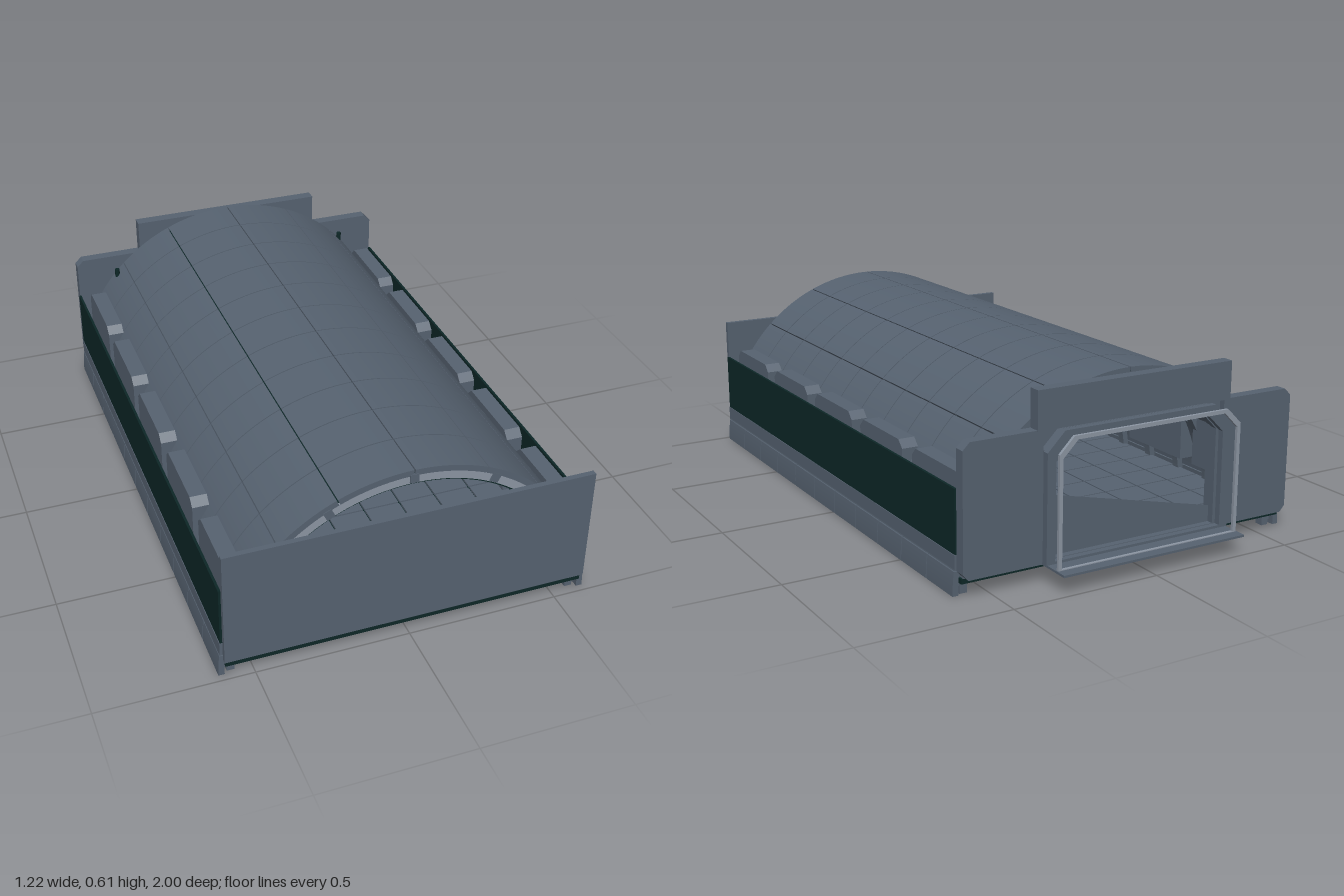
import * as THREE from 'three';
import { mergeGeometries } from 'three/addons/utils/BufferGeometryUtils.js';

const mat = (name, color) => {
  const m = new THREE.MeshStandardMaterial({ color });
  m.name = name;
  return m;
};

export function createModel() {
  const steel = mat('steel grey', 0x566270);
  const dark = mat('dark green', 0x0d2727);
  const pale = mat('pale grey', 0x8c96a3);
  const root = new THREE.Group();
  root.name = 'archedHangar';

  const add = (name, geo, m) => {
    const mesh = new THREE.Mesh(geo, m);
    mesh.name = name;
    root.add(mesh);
    return mesh;
  };
  // box given by its extents
  const box = (x0, x1, y0, y1, z0, z1) =>
    new THREE.BoxGeometry(x1 - x0, y1 - y0, z1 - z0)
      .translate((x0 + x1) / 2, (y0 + y1) / 2, (z0 + z1) / 2);
  const shapeOf = (pts) => new THREE.Shape(pts.map(([x, y]) => new THREE.Vector2(x, y)));
  const extrude = (shape, z0, z1, curveSegments = 6) =>
    new THREE.ExtrudeGeometry(shape, { depth: z1 - z0, bevelEnabled: false, curveSegments }).translate(0, 0, z0);
  // curved strip between two radii and two angles
  const arch = (r0, r1, a0, a1, z0, z1, seg) => {
    const s = new THREE.Shape();
    s.absarc(0, 0, r1, a0, a1, false);
    s.absarc(0, 0, r0, a1, a0, true);
    return extrude(s, z0, z1, seg);
  };
  const rad = THREE.MathUtils.degToRad;

  // Vaulted roof: rings of curved panels with narrow seams
  const zBack = -0.84, zFront = 0.98, rings = 11;
  const pitch = (zFront - zBack) / rings;
  const seams = [0, 7.5, 27, 46.5, 67, 90, 113, 133.5, 153, 172.5, 180].map(rad);
  const tiles = [];
  for (let i = 0; i < rings; i++) {
    const z0 = zBack + i * pitch;
    for (let j = 0; j < seams.length - 1; j++) {
      tiles.push(arch(0.59, 0.61, seams[j] + 0.003, seams[j + 1] - 0.003, z0 + 0.002, z0 + pitch - 0.002, 6));
    }
  }
  add('roofPanels', mergeGeometries(tiles), steel);
  add('seamBacking', new THREE.CylinderGeometry(0.597, 0.597, zFront - zBack - 0.01, 60, 1, true, Math.PI / 2, Math.PI)
    .rotateX(Math.PI / 2).translate(0, 0, (zFront + zBack) / 2), dark);

  // Inner ribs under every ring joint
  const ribs = [];
  for (let i = 1; i < rings; i++) {
    const z = zBack + i * pitch;
    ribs.push(arch(0.57, 0.592, 0.1, Math.PI - 0.1, z - 0.015, z + 0.015, 40));
  }
  add('ribs', mergeGeometries(ribs), steel);

  // Front rim with clamps
  add('frontRim', arch(0.562, 0.589, 0.1, Math.PI - 0.1, 0.93, 0.975, 48), pale);
  add('rimSeal', arch(0.556, 0.562, 0.1, Math.PI - 0.1, 0.935, 0.97, 48), dark);
  const clamps = [-54, -27, 0, 27, 54].map((a) =>
    box(-0.014, 0.014, 0.565, 0.595, 0.93, 0.98).rotateZ(rad(a)));
  add('rimClamps', mergeGeometries(clamps), steel);

  // Floor slab with plates on top
  add('floorSlab', box(-0.59, 0.59, 0.042, 0.058, -0.855, 0.99), dark);
  const plates = [];
  const nx = 9, nz = 14, px = 1.16 / nx, pz = 1.81 / nz;
  for (let i = 0; i < nx; i++) for (let j = 0; j < nz; j++) {
    const x = -0.58 + i * px, z = -0.835 + j * pz;
    plates.push(box(x + 0.003, x + px - 0.003, 0.057, 0.066, z + 0.003, z + pz - 0.003));
  }
  add('floorPlates', mergeGeometries(plates), steel);

  // Front wall
  add('frontWall', box(-0.595, 0.595, 0.066, 0.463, 0.982, 1.0), steel);

  // Long sides: dark band, vent housings, feet
  for (const [side, s] of [['left', 1], ['right', -1]]) {
    const at = (x0, x1, ...r) => box(Math.min(s * x0, s * x1), Math.max(s * x0, s * x1), ...r);
    add(side + 'SideBand', at(0.594, 0.602, 0.13, 0.33, zBack, zFront), dark);
    add(side + 'SkirtRail', at(0.594, 0.604, 0.085, 0.13, zBack, zFront), steel);
    for (let i = 0; i < 5; i++) {
      const z = 0.805 - i * 0.365;
      const profile = shapeOf([[-0.15, 0.13], [0.15, 0.13], [0.15, 0.335], [0.125, 0.36], [-0.125, 0.36], [-0.15, 0.335]]);
      const g = extrude(profile, -0.0275, 0.0275).rotateY(Math.PI / 2).translate(s * 0.5375, 0, z);
      add(side + 'VentHousing', g, steel);
    }
    const feet = [];
    for (let i = 0; i < 6; i++) {
      const z = -0.81 + i * 0.352;
      feet.push(at(0.555, 0.58, 0, 0.05, z - 0.015, z + 0.015));
      feet.push(at(0.575, 0.592, 0.015, 0.04, z - 0.01, z + 0.01));
    }
    add(side + 'Feet', mergeGeometries(feet), steel);

    // Back wing panel with clipped outer corners
    const wing = shapeOf([[0.33, 0.06], [0.58, 0.06], [0.598, 0.08], [0.598, 0.452], [0.575, 0.475], [0.33, 0.475]]
      .map(([x, y]) => [s * x, y]));
    add(side + 'BackWing', extrude(wing, -0.88, -0.842), steel);
    add(side + 'RoofPin', new THREE.CylinderGeometry(0.009, 0.009, 0.03, 10).translate(s * 0.453, 0.42, -0.81), dark);
  }

  // Back wall with a clipped doorway
  const door = (w, h, c, y0) => [[-w, y0], [w, y0], [w, h - c], [w - c, h], [-w + c, h], [-w, h - c]];
  const wall = new THREE.Shape();
  const a0 = Math.asin(0.06 / 0.589);
  wall.absarc(0, 0, 0.589, a0, Math.PI - a0, false);
  wall.holes.push(shapeOf(door(0.3, 0.45, 0.06, 0.067)));
  add('backWall', extrude(wall, -0.86, -0.836, 48), steel);
  add('backHeader', box(-0.352, 0.352, 0.472, 0.595, -0.882, -0.842), steel);

  // Doorway frames, outermost one slim
  const frame = (name, w, h, c, t, z0, z1, m) => {
    const s = shapeOf(door(w, h, c, 0.066));
    s.holes.push(shapeOf(door(w - t, h - t, c, 0.066 + t * 0.3)));
    add(name, extrude(s, z0, z1), m);
  };
  frame('doorLining', 0.325, 0.47, 0.06, 0.025, -0.882, -0.858, steel);
  frame('doorFrame', 0.335, 0.472, 0.06, 0.03, -0.91, -0.889, steel);
  frame('outerDoorFrame', 0.328, 0.47, 0.05, 0.012, -0.964, -0.954, pale);
  add('doorStep', box(-0.332, 0.332, 0.06, 0.067, -1.0, -0.84), steel);

  // Row of windows high on the inside of the back wall
  for (let i = -2; i <= 2; i++) {
    const x = i * 0.122, y = 0.515;
    const round = (w, h, r) => {
      const s = new THREE.Shape();
      s.absarc(w - r, h - r, r, 0, Math.PI / 2, false);
      s.absarc(-w + r, h - r, r, Math.PI / 2, Math.PI, false);
      s.absarc(-w + r, -h + r, r, Math.PI, Math.PI * 1.5, false);
      s.absarc(w - r, -h + r, r, Math.PI * 1.5, Math.PI * 2, false);
      return s;
    };
    add('windowFrame', extrude(round(0.042, 0.025, 0.01), -0.838, -0.832).translate(x, y, 0), pale);
    add('windowPane', extrude(round(0.037, 0.02, 0.008), -0.834, -0.829).translate(x, y, 0), dark);
    const slats = [-0.016, 0, 0.016].map((d) => box(x + d - 0.002, x + d + 0.002, y - 0.011, y + 0.011, -0.83, -0.827));
    add('windowSlats', mergeGeometries(slats), pale);
  }
  return root;
}
